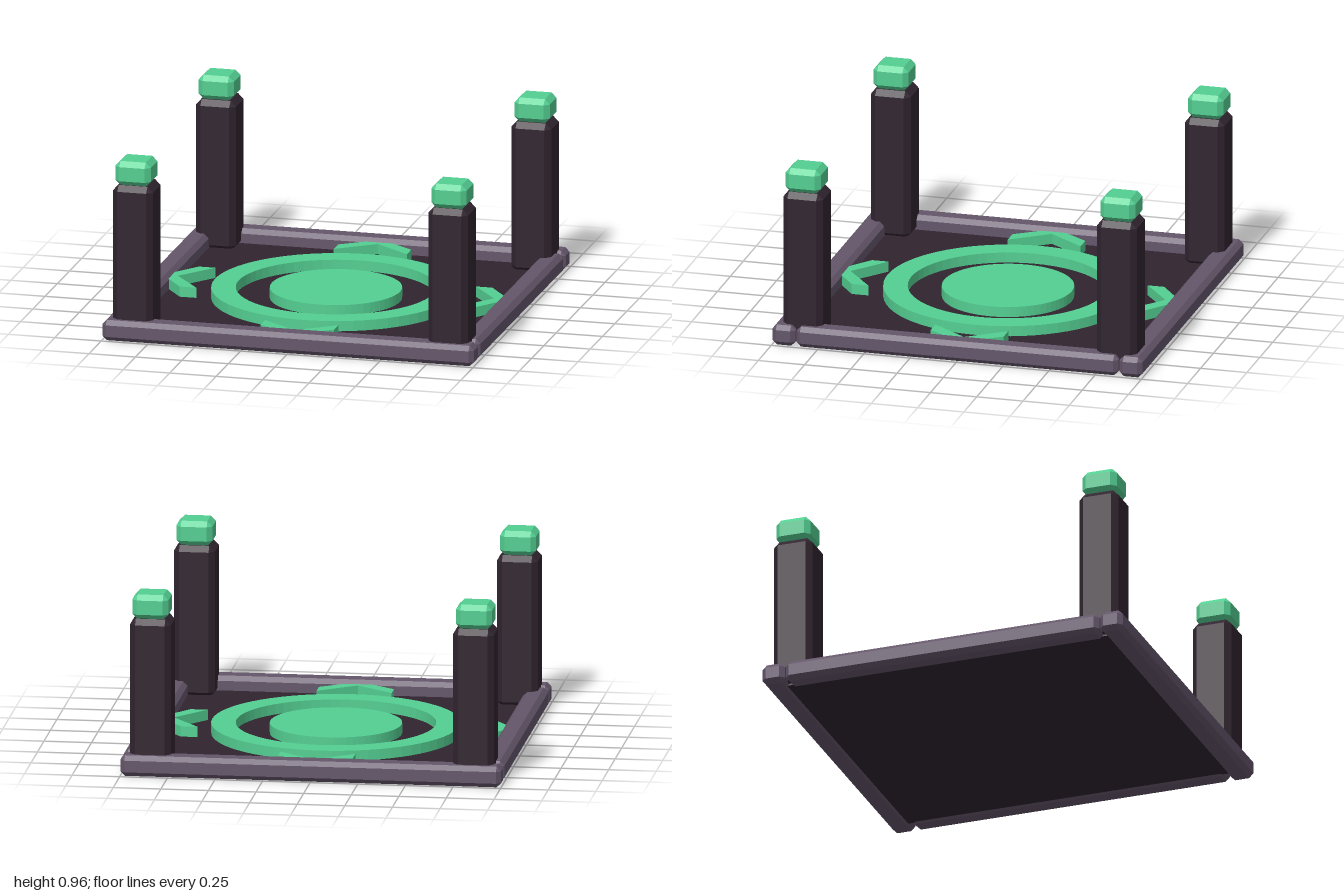
import * as THREE from 'three';
import { ConvexGeometry } from 'three/addons/geometries/ConvexGeometry.js';

const stone = new THREE.MeshStandardMaterial({ color: 0x64566a });
stone.name = 'greyPurpleTrim';
const dark = new THREE.MeshStandardMaterial({ color: 0x30242f });
dark.name = 'darkBase';
const green = new THREE.MeshStandardMaterial({ color: 0x54cf92 });
green.name = 'glowGreen';

const FLOOR_TOP = 0.035;
const RELIEF = 0.055;

// Box with every edge and corner cut flat by c
function chamferBox(w, h, d, c) {
  const pts = [];
  for (const x of [-1, 1]) for (const y of [-1, 1]) for (const z of [-1, 1]) {
    const [a, b, e] = [w / 2, h / 2, d / 2];
    pts.push(
      new THREE.Vector3(x * a, y * (b - c), z * (e - c)),
      new THREE.Vector3(x * (a - c), y * b, z * (e - c)),
      new THREE.Vector3(x * (a - c), y * (b - c), z * e)
    );
  }
  return new ConvexGeometry(pts);
}

// Flat shape raised from the floor
function raise(shape) {
  const geo = new THREE.ExtrudeGeometry(shape, { depth: RELIEF, bevelEnabled: false, curveSegments: 32 });
  return geo.rotateX(-Math.PI / 2).translate(0, FLOOR_TOP, 0);
}

function circle(r) {
  const s = new THREE.Shape();
  s.absarc(0, 0, r, 0, Math.PI * 2, false);
  return s;
}

export function createModel() {
  const model = new THREE.Group();
  model.name = 'platform';
  const add = (name, geo, mat, x = 0, y = 0, z = 0) => {
    const mesh = new THREE.Mesh(geo, mat);
    mesh.name = name;
    mesh.position.set(x, y, z);
    model.add(mesh);
    return mesh;
  };

  // Floor slab
  add('floor', new THREE.BoxGeometry(1.81, FLOOR_TOP - 0.01, 1.81), dark, 0, (FLOOR_TOP + 0.01) / 2, 0);

  // Bevelled border beams
  const longBeam = chamferBox(2, 0.11, 0.125, 0.024);
  const sideBeam = chamferBox(0.12, 0.11, 1.74, 0.024);
  for (const s of [-1, 1]) {
    add(s > 0 ? 'frontBeam' : 'backBeam', longBeam, stone, 0, 0.055, s * 0.9375);
    add(s > 0 ? 'leftBeam' : 'rightBeam', sideBeam, stone, s * 0.94, 0.055, 0);
  }

  // Corner posts with green caps
  const post = chamferBox(0.215, 0.81, 0.215, 0.03);
  const cap = chamferBox(0.19, 0.13, 0.19, 0.027);
  for (const x of [-1, 1]) for (const z of [-1, 1]) {
    const corner = (z > 0 ? 'front' : 'back') + (x > 0 ? 'Left' : 'Right');
    add(corner + 'Post', post, dark, x * 0.848, 0.425, z * 0.848);
    add(corner + 'Cap', cap, green, x * 0.85, 0.893, z * 0.85);
  }

  // Centre disc and ring
  add('centreDisc', raise(circle(0.345)), green);
  const ring = circle(0.65);
  ring.holes.push(circle(0.522));
  add('ring', raise(ring), green);

  // Outward arrows, tips tucked under the beams
  const chevron = raise(new THREE.Shape([
    [-0.197, 0.7], [0, 0.85], [0.197, 0.7], [0.197, 0.79], [0.065, 0.885], [-0.065, 0.885], [-0.197, 0.79]
  ].map(([x, y]) => new THREE.Vector2(x, y))));
  ['back', 'right', 'front', 'left'].forEach((side, i) => {
    add(side + 'Arrow', chevron, green).rotation.y = i * Math.PI / 2;
  });

  return model;
}
